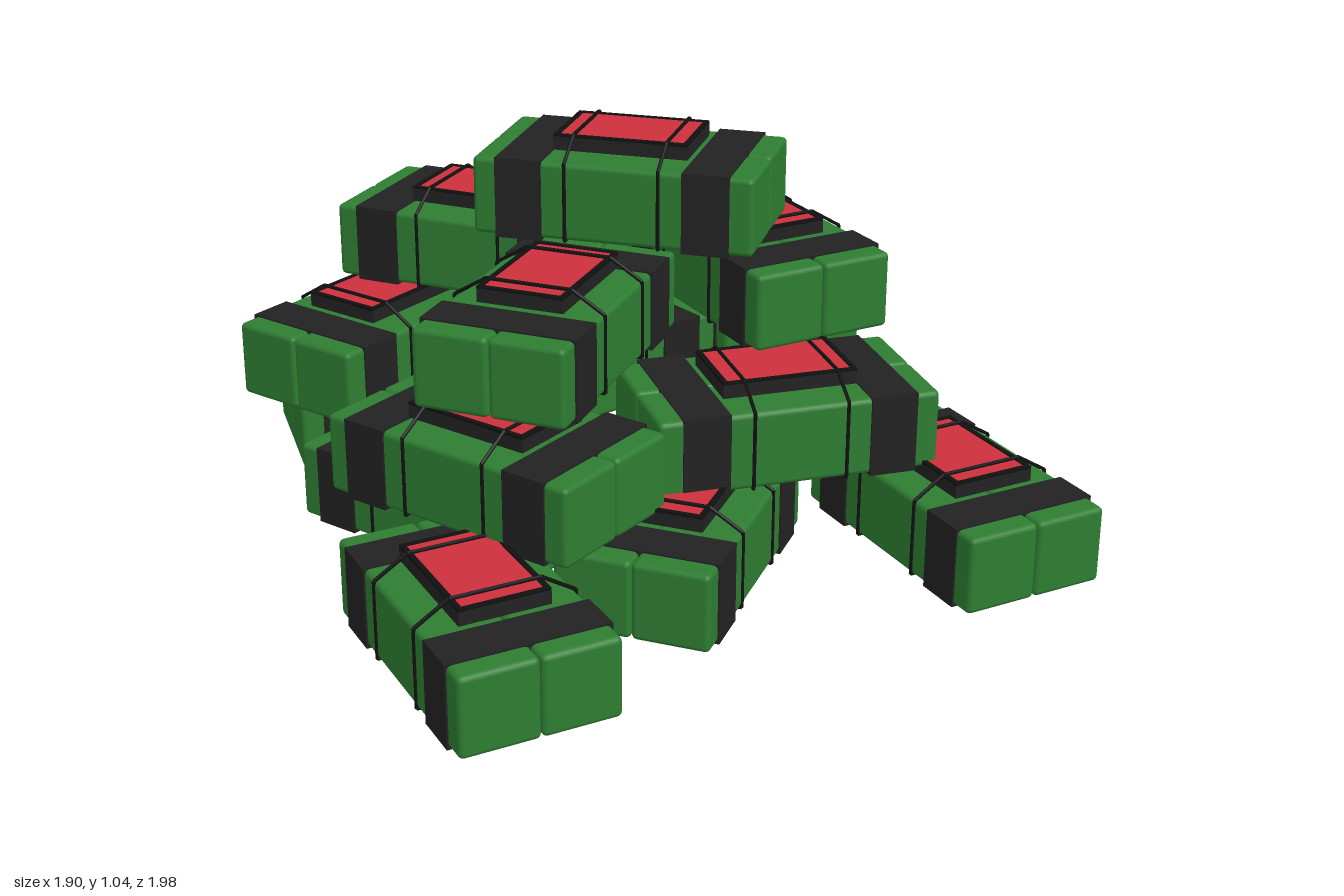
import * as THREE from 'three';
import { RoundedBoxGeometry } from 'three/addons/geometries/RoundedBoxGeometry.js';

const mat = (color) => new THREE.MeshStandardMaterial({ color });
const green = mat(0x2e7d32), black = mat(0x222222), cordBlack = mat(0x111111), red = mat(0xcc2f3b);

// Package dimensions: width (x), height (y), length (z)
const W = 0.406, H = 0.208, L = 0.75;
const PAD_W = 0.232, PAD_L = 0.36, PAD_TOP = H + 0.05;

const halfGeo = new RoundedBoxGeometry(W / 2 - 0.002, H, L, 2, 0.014);
const bandGeo = new THREE.BoxGeometry(W + 0.008, H + 0.008, 0.125);
const padGeo = new THREE.BoxGeometry(PAD_W, 0.036, PAD_L);
const panelGeo = new THREE.BoxGeometry(PAD_W - 0.03, 0.006, PAD_L - 0.03);
const cordGeo = new THREE.CylinderGeometry(0.005, 0.005, 1, 6);

function add(parent, name, geo, material, x, y, z) {
  const mesh = new THREE.Mesh(geo, material);
  mesh.name = name;
  mesh.position.set(x, y, z);
  parent.add(mesh);
  return mesh;
}

// Straight piece of cord between two points
function cordPiece(parent, a, b) {
  const dir = b.clone().sub(a);
  const mid = a.clone().add(b).multiplyScalar(0.5);
  const mesh = add(parent, 'cord', cordGeo, cordBlack, mid.x, mid.y, mid.z);
  mesh.scale.y = dir.length();
  mesh.quaternion.setFromUnitVectors(new THREE.Vector3(0, 1, 0), dir.normalize());
}

function createPackage() {
  const pack = new THREE.Group();
  pack.name = 'package';

  // Two bundles side by side, held by two wide bands
  for (const s of [-1, 1]) {
    add(pack, 'bundle', halfGeo, green, s * W / 4, H / 2, 0);
    add(pack, 'band', bandGeo, black, 0, H / 2, s * 0.25);
  }

  // Raised pad with a coloured panel in a rim
  add(pack, 'pad', padGeo, black, 0, H + 0.028, 0);
  add(pack, 'panel', panelGeo, red, 0, H + 0.047, 0);
  for (const s of [-1, 1]) {
    add(pack, 'rimSide', new THREE.BoxGeometry(0.013, 0.008, PAD_L), cordBlack,
      s * (PAD_W / 2 - 0.0065), PAD_TOP - 0.002, 0);
    add(pack, 'rimEnd', new THREE.BoxGeometry(PAD_W, 0.008, 0.013), cordBlack,
      0, PAD_TOP - 0.002, s * (PAD_L / 2 - 0.0065));
  }

  // Cords looped round the body and over the pad
  const loop = [[-W / 2, 0], [W / 2, 0], [W / 2, H], [PAD_W / 2, PAD_TOP + 0.004],
    [-PAD_W / 2, PAD_TOP + 0.004], [-W / 2, H]];
  for (const z of [-0.125, 0.125]) {
    const pts = loop.map(([x, y]) => new THREE.Vector3(x, y, z));
    pts.forEach((p, i) => cordPiece(pack, p, pts[(i + 1) % pts.length]));
  }
  return pack;
}

// Each layer: base height and packages as [x, z, long axis x, long axis z]
const layers = [
  { y: 0.008, packs: [
    [-0.74, 0.62, 0, 1], [0.63, 0.595, 0, 1], [-0.09, 0.44, -0.74, 0.67],
    [-0.345, -0.72, 0.985, 0.175], [0.533, -0.665, 0.934, 0.358], [-0.49, -0.08, 0.45, 0.89]] },
  { y: 0.25, packs: [
    [-0.535, 0.29, 0.45, 0.89], [-0.09, -0.245, 0.98, -0.2], [0.225, 0.36, 0.98, 0.19],
    [0.568, -0.39, -0.165, 0.985], [-0.464, -0.637, 0.89, -0.45]] },
  { y: 0.518, packs: [
    [-0.165, -0.575, 0.64, 0.77], [0.39, -0.06, 0.015, 1], [-0.314, 0.14, -0.75, 0.66]] },
  { y: 0.78, packs: [[0.037, -0.085, 0.73, 0.68]] },
];

export function createModel() {
  const model = new THREE.Group();
  model.name = 'packagePile';
  layers.forEach(({ y, packs }, i) => {
    const layer = new THREE.Group();
    layer.name = `layer${i + 1}`;
    for (const [x, z, dx, dz] of packs) {
      const pack = createPackage();
      pack.position.set(x, y, z);
      pack.rotation.y = Math.atan2(dx, dz);
      layer.add(pack);
    }
    model.add(layer);
  });
  return model;
}
